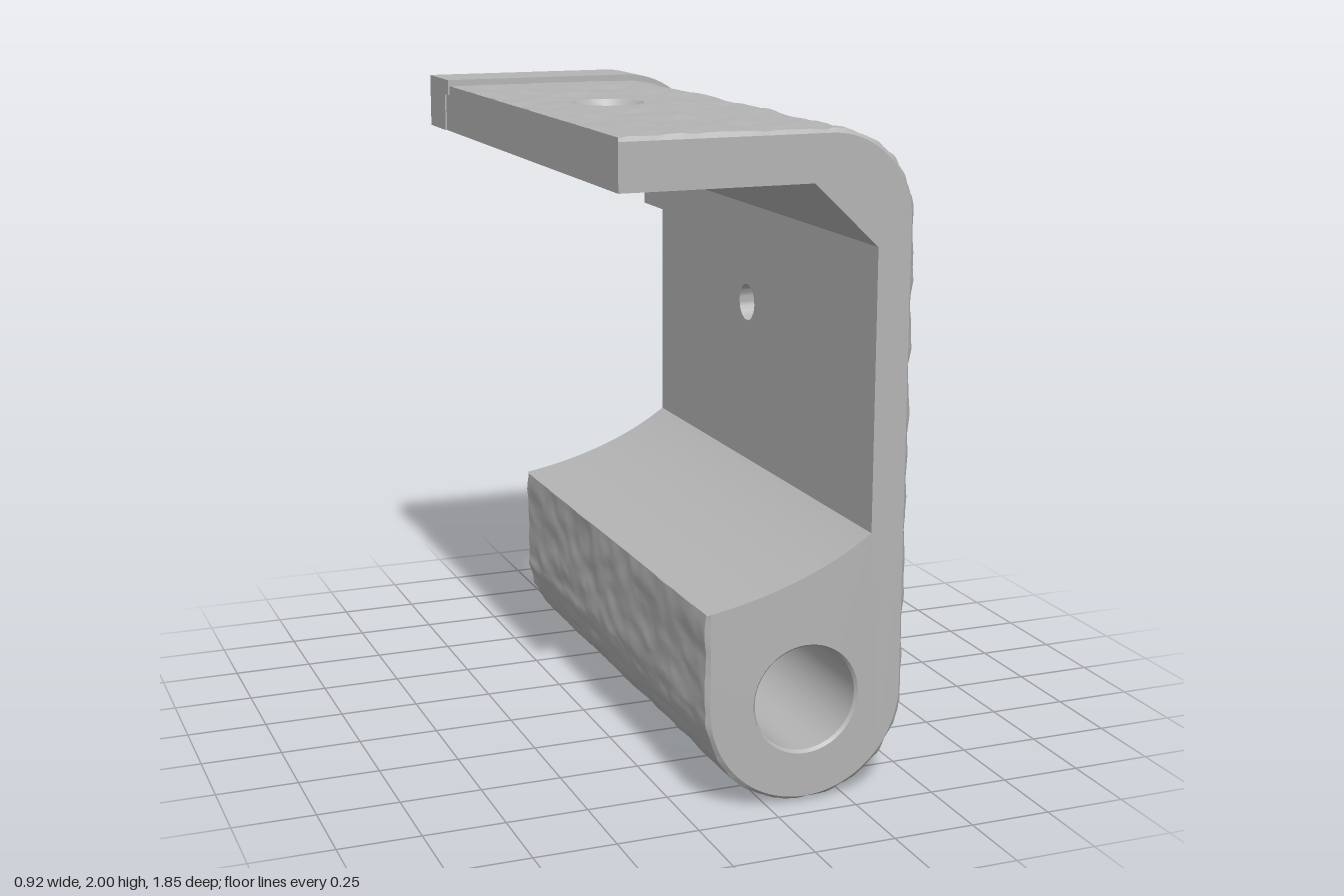
import * as THREE from 'three';
import { toCreasedNormals } from 'three/addons/utils/BufferGeometryUtils.js';

const FRONT = 0.92, BACK = -0.75, POCKET = -0.45, STEP = 0.02, BEVEL = 0.012;
const BORE_X = 0.12, BORE_Y = 0.315;

// Smooth seeded noise for the hammered skin
const hash = (i, j) => { const s = Math.sin(i * 127.1 + j * 311.7) * 43758.5453; return s - Math.floor(s); };
function noise(u, v) {
  const i = Math.floor(u), j = Math.floor(v), ease = t => t * t * (3 - 2 * t);
  const a = ease(u - i), b = ease(v - j), mix = THREE.MathUtils.lerp;
  return mix(mix(hash(i, j), hash(i + 1, j), a), mix(hash(i, j + 1), hash(i + 1, j + 1), a), b) - 0.5;
}

// Split a polyline into short steps, keeping its corners
function densify(points, step = STEP) {
  const out = [points[0]];
  for (let i = 1; i < points.length; i++) {
    const n = Math.ceil(points[i - 1].distanceTo(points[i]) / step - 1e-6);
    for (let k = 1; k <= n; k++) out.push(points[i - 1].clone().lerp(points[i], k / n));
  }
  return out;
}

// Left-hand normals along a polyline
const normalsOf = pts => pts.map((p, i) => {
  const d = pts[Math.min(i + 1, pts.length - 1)].clone().sub(pts[Math.max(i - 1, 0)]).normalize();
  return new THREE.Vector2(-d.y, d.x);
});

// Screw hole centres: one in the wall, one in the top plate
const holes = [
  { axis: 'y', centre: 1.32, on: p => p.x > 0.3 },
  { axis: 'x', centre: -0.155, on: p => p.y > 1.8 },
];

// Sweep a path along z, with optional bumps, bevelled ends and screw holes
function sheet(path, z0, z1, { side = 1, bump = 0, bevel = 0, holeRadius = 0, step = STEP } = {}) {
  const normals = normalsOf(path), zs = [z0], pos = [], index = [], inside = [];
  const n = Math.round((z1 - z0) / step);
  if (bevel) zs.push(z0 + bevel);
  for (let j = 1; j < n; j++) zs.push(z0 + (z1 - z0) * j / n);
  if (bevel) zs.push(z1 - bevel);
  zs.push(z1);
  path.forEach((p, i) => zs.forEach((zz, j) => {
    const v = new THREE.Vector3(p.x, p.y, zz);
    const end = j === 0 || j === zs.length - 1;
    let inHole = false, fade = end ? 0 : 1;
    if (holeRadius) for (const h of holes) {
      if (!h.on(v)) continue;
      const a = v[h.axis] - h.centre, d = Math.hypot(a, v.z);
      fade *= THREE.MathUtils.smoothstep(d, holeRadius, holeRadius + 0.04);
      if (d < holeRadius) {
        inHole = true;
        const k = holeRadius / Math.max(d, 1e-4);
        v[h.axis] = h.centre + a * k;
        v.z *= k;
      }
    }
    const s = i * STEP;
    const lift = bump * fade * (noise(s * 16, zz * 9) + 0.5 * noise(s * 34 + 7, zz * 20 + 3)) - (end ? bevel : 0);
    pos.push(v.x + normals[i].x * lift, v.y + normals[i].y * lift, v.z);
    inside.push(inHole);
  }));
  const m = zs.length;
  const tri = (a, b, c) => {
    if (inside[a] && inside[b] && inside[c]) return;
    index.push(...(side > 0 ? [a, c, b] : [a, b, c]));
  };
  for (let i = 0; i < path.length - 1; i++) for (let j = 0; j < m - 1; j++) {
    const a = i * m + j, b = a + m;
    tri(a, b, a + 1);
    tri(b, b + 1, a + 1);
  }
  const g = new THREE.BufferGeometry();
  g.setAttribute('position', new THREE.Float32BufferAttribute(pos, 3));
  g.setIndex(index);
  return toCreasedNormals(g, 0.6);
}

// Flat face at depth z, facing front or back
function cap(shape, z, facesBack) {
  const g = new THREE.ShapeGeometry(shape, 48).translate(0, 0, z);
  if (facesBack) {
    const ix = g.index.array;
    for (let i = 0; i < ix.length; i += 3) [ix[i], ix[i + 1]] = [ix[i + 1], ix[i]];
    g.computeVertexNormals();
  }
  return g;
}

const circle = r => new THREE.Path().absarc(BORE_X, BORE_Y, r, 0, Math.PI * 2);
const lathe = pts => toCreasedNormals(
  new THREE.LatheGeometry(pts.map(([r, y]) => new THREE.Vector2(r, y)), 48), 0.6);
const extrude = (shape, z0, z1) => toCreasedNormals(
  new THREE.ExtrudeGeometry(shape, { depth: z1 - z0, bevelEnabled: false, curveSegments: 24 }).translate(0, 0, z0), 0.5);

export function createModel() {
  const group = new THREE.Group();
  const grey = new THREE.MeshStandardMaterial({ color: 0xb4b4b4, side: THREE.DoubleSide });
  grey.name = 'grey';
  const add = (name, geometry) => {
    const mesh = new THREE.Mesh(geometry, grey);
    mesh.name = name;
    group.add(mesh);
    return mesh;
  };

  // Outside of the hook: top, rounded corner, wall, round bottom
  const outerPath = new THREE.Path();
  outerPath.moveTo(-0.46, 1.98).lineTo(0.17, 1.98);
  outerPath.absarc(0.17, 1.715, 0.265, Math.PI / 2, 0, true);
  outerPath.lineTo(0.435, BORE_Y);
  outerPath.absarc(BORE_X, BORE_Y, 0.315, 0, -Math.PI, true);
  outerPath.lineTo(-0.195, 0.61);
  const outer = densify(outerPath.getPoints(20));
  add('hammeredSkin', sheet(outer, BACK, FRONT, { bump: 0.009, bevel: BEVEL, holeRadius: 0.112 }));

  // Inside of the hook: plate edge, underside, brace, wall, curved shelf
  const innerPath = new THREE.Path();
  innerPath.moveTo(-0.46, 1.98).lineTo(-0.46, 1.83).lineTo(0.12, 1.83).lineTo(0.32, 1.64).lineTo(0.32, 0.8);
  innerPath.quadraticCurveTo(0.12, 0.66, -0.195, 0.61);
  const inner = densify(innerPath.getPoints(16));
  add('innerSurface', sheet(inner, BACK, FRONT, { side: -1, holeRadius: 0.06 }));

  // Pocket in the back of the barrel
  const pocket = new THREE.Path();
  pocket.moveTo(-0.14, BORE_Y);
  pocket.absarc(BORE_X, BORE_Y, 0.26, Math.PI, Math.PI * 2, false);
  pocket.lineTo(0.38, 0.53);
  pocket.absarc(0.29, 0.53, 0.09, 0, Math.PI / 2, false);
  pocket.lineTo(-0.05, 0.57);
  pocket.absarc(-0.05, 0.48, 0.09, Math.PI / 2, Math.PI, false);
  pocket.lineTo(-0.14, BORE_Y);
  const pocketPoints = pocket.getPoints(20);
  add('pocketWall', sheet(pocketPoints, BACK, POCKET, { step: 0.1 }));
  const floor = new THREE.Shape(pocketPoints);
  floor.holes.push(circle(0.2));
  add('pocketFloor', cap(floor, POCKET, true));

  // End faces
  const normals = normalsOf(outer);
  const rim = outer.map((p, i) => p.clone().addScaledVector(normals[i], -BEVEL));
  const profile = [...rim, ...inner.slice(1).reverse()];
  const frontFace = new THREE.Shape(profile);
  frontFace.holes.push(circle(0.168));
  add('frontFace', cap(frontFace, FRONT, false));
  const backFace = new THREE.Shape(profile);
  backFace.holes.push(new THREE.Path(pocketPoints));
  add('backFace', cap(backFace, BACK, true));

  // Stepped bore through the barrel
  const bore = add('bore', lathe([[0.168, FRONT], [0.16, FRONT - 0.01], [0.16, -0.4], [0.2, -0.4], [0.2, POCKET]]).rotateX(Math.PI / 2));
  bore.position.set(BORE_X, BORE_Y, 0);

  // Countersunk screw holes
  const screwHole = depth => lathe([[0.112, 0], [0.088, -0.03], [0.088, -0.06], [0.06, -0.06], [0.06, -depth]]);
  add('wallScrewHole', screwHole(0.115).rotateZ(-Math.PI / 2)).position.set(0.435, 1.32, 0);
  add('topScrewHole', screwHole(0.15)).position.set(-0.155, 1.98, 0);

  // Raised flange around the back edge
  const flange = new THREE.Shape();
  flange.moveTo(-0.465, 1.95).lineTo(-0.465, 2).lineTo(0.17, 2);
  flange.absarc(0.17, 1.715, 0.285, Math.PI / 2, 0, true);
  flange.lineTo(0.455, 1.1);
  flange.quadraticCurveTo(0.455, 1.03, 0.43, 0.97);
  flange.lineTo(0.41, 0.97).lineTo(0.41, 1.715);
  flange.absarc(0.17, 1.715, 0.24, 0, Math.PI / 2, false);
  flange.lineTo(-0.465, 1.95);
  add('backFlange', extrude(flange, BACK, -0.71));

  // Overhanging lip behind the flange
  const lip = new THREE.Shape();
  lip.moveTo(-0.465, 1.83).lineTo(-0.465, 2).lineTo(0.17, 2);
  lip.absarc(0.17, 1.715, 0.285, Math.PI / 2, 0, true);
  lip.lineTo(0.455, 1.52).lineTo(0.32, 1.52).lineTo(0.32, 1.64).lineTo(0.12, 1.83).lineTo(-0.465, 1.83);
  add('backLip', extrude(lip, -0.93, BACK));

  return group;
}
